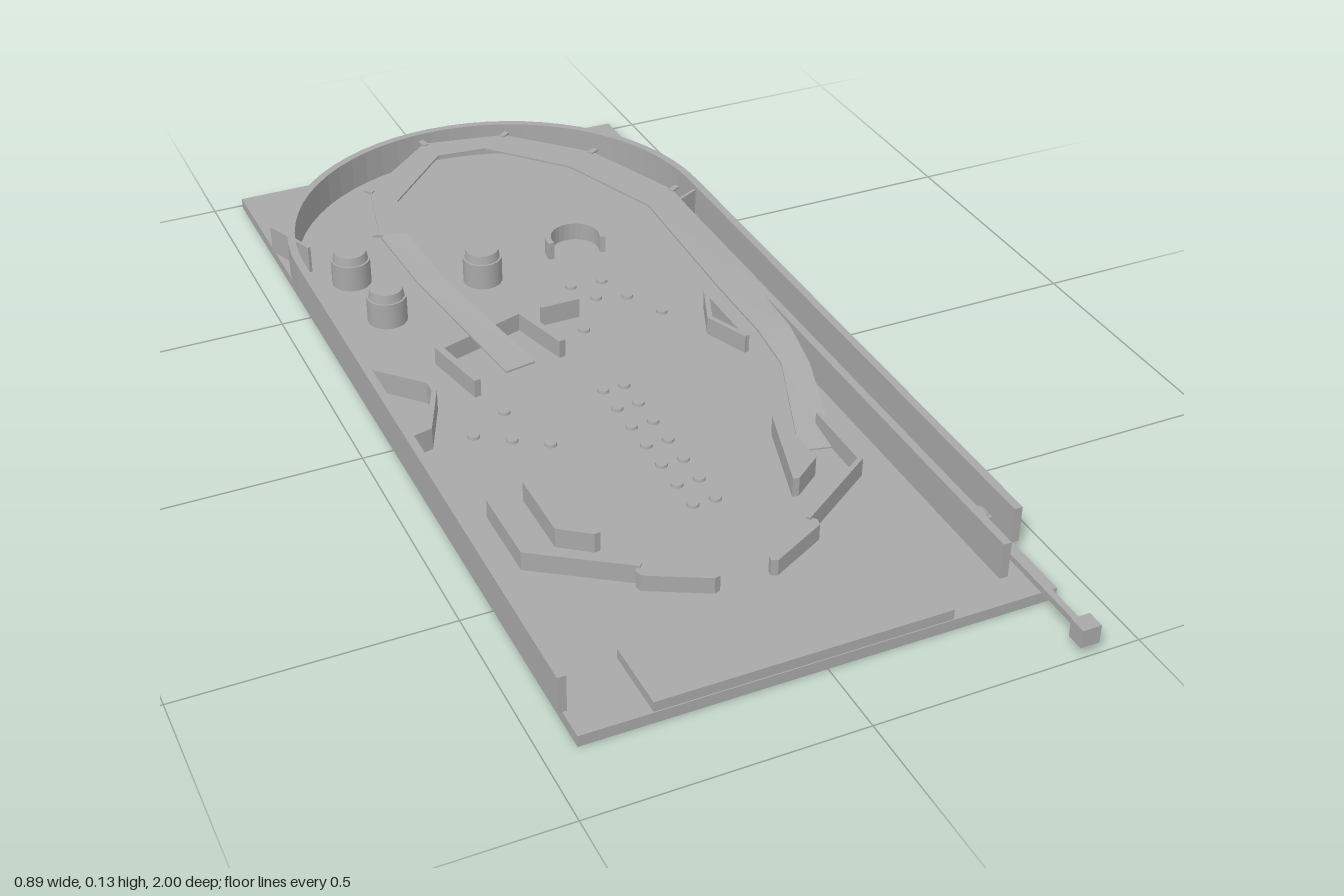
import * as THREE from 'three';

const FLOOR = 0.022;

export function createModel() {
  const root = new THREE.Group();
  const grey = new THREE.MeshStandardMaterial({ color: 0xa8a8a8 });
  const greySheet = new THREE.MeshStandardMaterial({ color: 0xa8a8a8, side: THREE.DoubleSide });

  const add = (name, geo, x = 0, y = 0, z = 0, mat = grey) => {
    const m = new THREE.Mesh(geo, mat);
    m.name = name;
    m.position.set(x, y, z);
    root.add(m);
    return m;
  };
  // box given by its limits
  const block = (name, x0, x1, y0, y1, z0, z1) =>
    add(name, new THREE.BoxGeometry(x1 - x0, y1 - y0, z1 - z0), (x0 + x1) / 2, (y0 + y1) / 2, (z0 + z1) / 2);
  // upright prism over a floor plan of [x, z] points
  const prism = (name, plan, top) => {
    const shape = new THREE.Shape(plan.map(([x, z]) => new THREE.Vector2(x, -z)));
    const geo = new THREE.ExtrudeGeometry(shape, { depth: top - FLOOR, bevelEnabled: false });
    geo.rotateX(-Math.PI / 2);
    return add(name, geo, 0, FLOOR, 0);
  };
  // wall of even thickness along a path of [x, z] points, with mitred corners
  const wall = (name, path, thick, top) => {
    const p = path.map(([x, z]) => new THREE.Vector2(x, z));
    const left = [], right = [];
    p.forEach((q, i) => {
      const a = q.clone().sub(p[Math.max(i - 1, 0)]).normalize();
      const b = p[Math.min(i + 1, p.length - 1)].clone().sub(q).normalize();
      const d = a.clone().add(b).normalize();
      const cos = Math.max(d.dot(i ? a : b), 0.4);
      const nx = (-d.y * thick) / 2 / cos, nz = (d.x * thick) / 2 / cos;
      left.push([q.x + nx, q.y + nz]);
      right.unshift([q.x - nx, q.y - nz]);
    });
    return prism(name, [...left, ...right], top);
  };
  const mirror = (pts) => pts.map(([x, z]) => [-x, z]);

  // board and front apron
  block('playfieldBoard', -0.44, 0.435, 0, FLOOR, -0.99, 0.855);
  block('apron', -0.31, 0.235, FLOOR, 0.042, 0.715, 0.853);

  // outer wall with arched back
  const rim = [[-0.44, 0.795]];
  for (let i = 0; i <= 32; i++) {
    const a = Math.PI * (1 - i / 32);
    rim.push([0.437 * Math.cos(a), -0.555 - 0.437 * Math.sin(a)]);
  }
  rim.push([0.438, 0.72]);
  wall('outerWall', rim, 0.016, 0.095);

  // shooter lane
  wall('laneWall', [[0.368, 0.795], [0.368, -0.49]], 0.016, 0.095);
  wall('laneGate', [[0.368, -0.487], [0.425, -0.517]], 0.006, 0.09);
  wall('upperLeftGate', [[-0.44, -0.75], [-0.395, -0.635]], 0.007, 0.08);

  // plunger
  block('plungerRod', 0.394, 0.406, 0.035, 0.047, 0.66, 0.975);
  block('plungerKnob', 0.383, 0.419, 0.023, 0.059, 0.966, 1.0);
  block('plungerTip', 0.385, 0.415, 0.026, 0.056, 0.665, 0.68);
  add('ball', new THREE.SphereGeometry(0.022, 16, 12), 0.4, 0.044, 0.66);

  // pop bumpers
  for (const [x, z] of [[-0.33, -0.565], [-0.31, -0.4], [-0.082, -0.463]]) {
    add('bumperBody', new THREE.CylinderGeometry(0.04, 0.04, 0.055, 24), x, FLOOR + 0.0275, z);
    add('bumperCap', new THREE.CylinderGeometry(0.033, 0.036, 0.018, 24), x, 0.086, z);
  }

  // curved pocket
  const arc = [];
  for (let i = 0; i <= 16; i++) {
    const a = Math.PI * (1.05 - (i / 16) * 1.2);
    arc.push([0.135 + 0.057 * Math.cos(a), -0.488 - 0.057 * Math.sin(a)]);
  }
  wall('curvedPocket', arc, 0.012, 0.06);

  // small triangular post and the U-shaped catcher below the ramp exit
  prism('trianglePost', [[-0.042, -0.25], [0.042, -0.25], [0.035, -0.27], [0.008, -0.303], [-0.008, -0.303], [-0.035, -0.27]], 0.064);
  wall('rampCatcher', [[-0.245, -0.07], [-0.272, -0.203], [-0.082, -0.262], [-0.046, -0.13]], 0.014, 0.06);

  // side pockets
  wall('leftPocket', [[-0.43, -0.19], [-0.335, -0.09], [-0.335, -0.06], [-0.385, 0.05], [-0.43, 0.06]], 0.01, 0.068);
  wall('rightDeflector', [[0.288, -0.18], [0.252, -0.09], [0.288, 0]], 0.01, 0.06);
  wall('rightDeflectorBack', [[0.288, -0.18], [0.288, 0]], 0.01, 0.06);

  // slingshots, guides and flippers
  const sling = [[-0.29, 0.265], [-0.277, 0.265], [-0.222, 0.45], [-0.234, 0.452], [-0.29, 0.41]];
  const guide = [[-0.362, 0.285], [-0.362, 0.442], [-0.195, 0.556]];
  const flipper = [[-0.208, 0.562], [-0.196, 0.55], [-0.085, 0.618], [-0.083, 0.63], [-0.095, 0.634], [-0.205, 0.577]];
  // the right side sits a little further in, beside the shooter lane
  const shift = (pts, d) => mirror(pts).map(([x, z]) => [x + d, z]);
  prism('leftSlingshot', sling, 0.062);
  prism('rightSlingshot', shift(sling, -0.073), 0.062);
  wall('leftGuide', guide, 0.009, 0.06);
  wall('rightGuide', shift(guide, -0.073), 0.009, 0.06);
  prism('leftFlipper', flipper, 0.055);
  prism('rightFlipper', shift(flipper, -0.071), 0.055);

  // low lamp inserts
  const lamps = [[-0.3, 0.05], [-0.24, 0.09], [-0.18, 0.13], [-0.22, 0], [-0.04, -0.21], [0.03, -0.2],
    [0.07, -0.36], [0.137, -0.356], [0.1, -0.3], [0.16, -0.28], [0.2, -0.2]];
  for (let i = 0; i < 7; i++) lamps.push([-0.022, 0.01 + i * 0.065], [0.022, 0.01 + i * 0.065]);
  const lampGeo = new THREE.CylinderGeometry(0.011, 0.012, 0.006, 12);
  for (const [x, z] of lamps) add('lampInsert', lampGeo, x, FLOOR + 0.003, z);

  // raised ramp: inner x, z, outer x, z, height
  const ramp = [
    [0.225, 0.335, 0.29, 0.35, 0.025], [0.297, 0.125, 0.347, 0.145, 0.068], [0.297, 0.03, 0.36, 0.04, 0.086],
    [0.288, -0.13, 0.362, -0.13, 0.1], [0.288, -0.455, 0.362, -0.497, 0.115], [0.198, -0.66, 0.267, -0.702, 0.125],
    [0.06, -0.803, 0.119, -0.845, 0.129], [-0.045, -0.812, -0.055, -0.876, 0.13], [-0.192, -0.66, -0.23, -0.723, 0.13],
    [-0.219, -0.528, -0.272, -0.544, 0.13], [-0.198, -0.375, -0.251, -0.375, 0.105], [-0.113, -0.106, -0.177, -0.095, 0.045],
  ];
  const pos = [], idx = [];
  ramp.forEach(([xi, zi, xo, zo, y], i) => {
    const t = 0.004;
    pos.push(xi, y, zi, xo, y, zo, xo, y - t, zo, xi, y - t, zi);
    if (!i) return;
    const a = (i - 1) * 4, b = i * 4;
    for (let k = 0; k < 4; k++) {
      const n = (k + 1) % 4;
      idx.push(a + k, a + n, b + k, a + n, b + n, b + k);
    }
  });
  const e = (ramp.length - 1) * 4;
  idx.push(0, 2, 1, 0, 3, 2, e, e + 1, e + 2, e, e + 2, e + 3);
  let rampGeo = new THREE.BufferGeometry();
  rampGeo.setAttribute('position', new THREE.Float32BufferAttribute(pos, 3));
  rampGeo.setIndex(idx);
  rampGeo = rampGeo.toNonIndexed();
  rampGeo.computeVertexNormals();
  add('ramp', rampGeo, 0, 0, 0, grey);

  // small tabs along the outer ramp edge
  for (let i = 4; i < 10; i++) {
    const [xi, zi, xo, zo, y] = ramp[i];
    const tab = add('rampTab', new THREE.BoxGeometry(0.022, 0.005, 0.012), xo * 1.01, y, zo, greySheet);
    tab.rotation.y = -Math.atan2(zo - zi, xo - xi);
  }
  return root;
}
